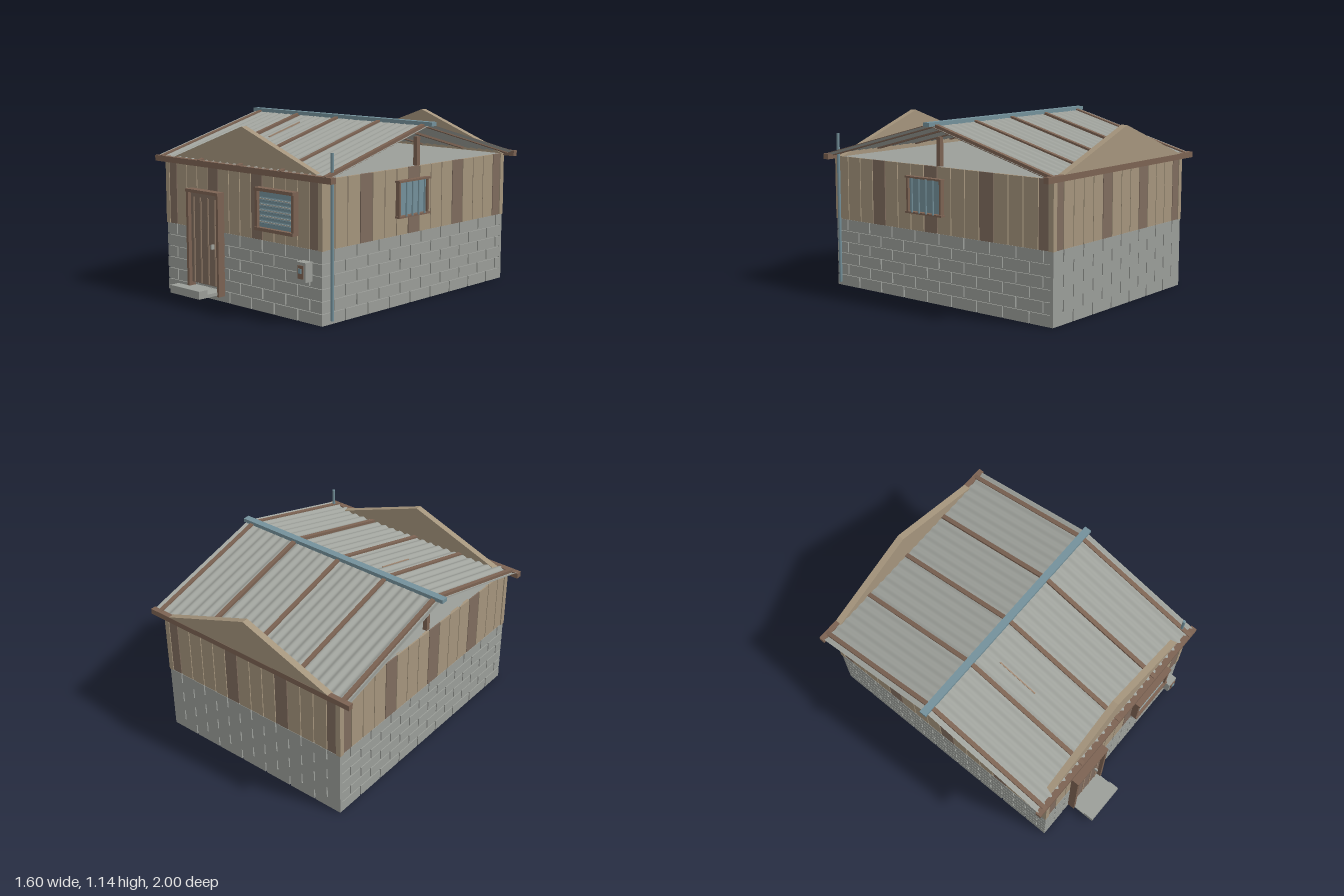
import * as THREE from 'three';

const mat = (name, color, side = THREE.FrontSide) => {
  const m = new THREE.MeshStandardMaterial({ color, side });
  m.name = name;
  return m;
};

export function createModel() {
  const root = new THREE.Group();
  root.name = 'hut';
  const block = mat('blockGrey', 0x9b9e99);
  const sheet = mat('roofGrey', 0xa0a39d, THREE.DoubleSide);
  const tan = mat('tanWood', 0xa5957d);
  const brown = mat('brownBoard', 0x7f6c5e);
  const trim = mat('brownTrim', 0x7c6353);
  const blue = mat('blueMetal', 0x74919b);
  const pale = mat('paleWood', 0xa08873);

  // Box given by its limits on each axis
  const box = (name, m, x0, x1, y0, y1, z0, z1, parent = root) => {
    const b = new THREE.Mesh(new THREE.BoxGeometry(x1 - x0, y1 - y0, z1 - z0), m);
    b.position.set((x0 + x1) / 2, (y0 + y1) / 2, (z0 + z1) / 2);
    b.name = name;
    parent.add(b);
    return b;
  };
  const group = (name) => {
    const g = new THREE.Group();
    g.name = name;
    root.add(g);
    return g;
  };

  // Solid cores behind the blocks and boards
  box('blockCore', block, -0.69, 0.69, 0, 0.445, -0.96, 0.79);
  box('boardCore', tan, -0.69, 0.69, 0.445, 0.855, -0.96, 0.79);
  box('ceiling', block, -0.69, 0.69, 0.855, 0.86, -0.96, 0.79);

  // One wall: local x runs along it, local z points outward
  const wall = (name, angle, half, dist, boards, browns, mirrored, joint) => {
    const g = group(name);
    g.position.z = -0.085;
    g.rotation.y = angle;
    const rows = 6, h = 0.445 / rows, len = 0.2;
    for (let r = 0; r < rows; r++) {
      for (let x = -half - (r % 2) * len / 2; x < half - 0.01; x += len) {
        const a = Math.max(x, -half), b = Math.min(x + len, half);
        box('block', block, a === -half ? a : a + 0.005, b === half ? b : b - 0.005,
          r * h + (r ? joint : 0), (r + 1) * h - (r < rows - 1 ? joint : 0), dist - 0.02, dist, g);
      }
    }
    const w = 2 * half / boards;
    for (let i = 0; i < boards; i++) {
      const k = mirrored ? boards - 1 - i : i, x = -half + i * w;
      box('board', browns.includes(k) ? brown : tan,
        x + 0.003, x + w - 0.003, 0.445, 0.86, dist - 0.02, dist - 0.002, g);
    }
  };
  const endBrowns = [0, 4, 8, 13], sideBrowns = [3, 7, 11, 15];
  wall('frontWall', 0, 0.7, 0.885, 14, endBrowns, false, 0.004);
  wall('backWall', Math.PI, 0.7, 0.885, 14, endBrowns, true, 0);
  wall('leftWall', Math.PI / 2, 0.885, 0.7, 16, sideBrowns, false, 0.004);
  wall('rightWall', -Math.PI / 2, 0.885, 0.7, 16, sideBrowns, true, 0.004);

  // Corner posts and posts under the ridge
  for (const s of [-1, 1]) {
    for (const z of [0.785, -0.955]) {
      box('cornerPost', tan, s * 0.688 - 0.017, s * 0.688 + 0.017, 0.445, 0.86, z - 0.018, z + 0.018);
    }
    box('ridgePost', trim, s * 0.67 - 0.015, s * 0.67 + 0.015, 0.86, 1.04, -0.1, -0.07);
  }

  // Gable triangles and eave boards
  const tri = new THREE.Shape([
    new THREE.Vector2(-0.7, 0.86), new THREE.Vector2(0.7, 0.86), new THREE.Vector2(0, 1.118)]);
  for (const [z, name] of [[0.735, 'frontGable'], [-0.999, 'backGable']]) {
    const gable = new THREE.Mesh(
      new THREE.ExtrudeGeometry(tri, { depth: 0.043, bevelEnabled: false }), tan);
    gable.position.z = z;
    gable.name = name;
    root.add(gable);
  }
  box('frontEave', trim, -0.79, 0.79, 0.845, 0.882, 0.78, 0.82);
  box('backEave', trim, -0.79, 0.79, 0.847, 0.884, -1, -0.965);

  // Corrugated roof slopes with battens, local z running down the slope
  const roofSlope = (name, sign, zEave, yEave) => {
    const zRidge = -0.09, yRidge = 1.115;
    const run = Math.abs(zEave - zRidge), drop = yRidge - yEave, L = Math.hypot(run, drop);
    const g = group(name);
    g.position.set(0, (yRidge + yEave) / 2, (zRidge + zEave) / 2);
    g.rotation.x = sign * Math.atan2(drop, run);
    const geo = new THREE.PlaneGeometry(1.56, L, 192, 1).rotateX(-Math.PI / 2);
    const p = geo.attributes.position;
    for (let i = 0; i < p.count; i++) {
      p.setY(i, 0.006 * Math.cos(p.getX(i) * Math.PI * 2 / 0.065));
    }
    geo.computeVertexNormals();
    const s = new THREE.Mesh(geo, sheet);
    s.name = 'corrugatedSheet';
    g.add(s);
    for (const x of [-0.73, -0.365, 0, 0.365, 0.73]) {
      box('batten', trim, x - 0.014, x + 0.014, -0.012, 0.014, -L / 2, L / 2, g);
    }
    return g;
  };
  const front = roofSlope('frontSlope', 1, 0.81, 0.872);
  roofSlope('backSlope', -1, -0.995, 0.868);
  for (const x of [-0.45, -0.235]) {
    box('rustStreak', pale, x - 0.004, x + 0.004, -0.006, 0.003, -0.33, -0.04, front);
  }
  box('ridgeCap', blue, -0.8, 0.8, 1.112, 1.137, -0.115, -0.068);

  // Door with frame, plank strips and handle
  const door = group('door');
  box('doorPanel', brown, -0.435, -0.16, 0.095, 0.685, 0.795, 0.825, door);
  for (const x of [-0.45, -0.165]) {
    box('doorJamb', trim, x, x + 0.02, 0.04, 0.7, 0.795, 0.85, door);
  }
  box('doorHead', trim, -0.45, -0.145, 0.68, 0.7, 0.795, 0.855, door);
  for (const x of [-0.4, -0.335, -0.265, -0.2]) {
    box('plankStrip', pale, x - 0.005, x + 0.005, 0.1, 0.65, 0.824, 0.829, door);
  }
  box('doorHandle', sheet, -0.22, -0.21, 0.335, 0.365, 0.825, 0.848, door);

  // Door step
  box('stepSlab', block, -0.44, -0.16, 0.05, 0.07, 0.8, 0.93);
  box('stepEdge', block, -0.44, -0.16, 0.05, 0.1, 0.93, 1);

  // Louvred front window
  const win = group('frontWindow');
  box('windowPane', blue, 0.195, 0.49, 0.53, 0.755, 0.795, 0.818, win);
  for (const x of [0.178, 0.488]) box('windowJamb', trim, x, x + 0.02, 0.515, 0.77, 0.795, 0.84, win);
  for (const y of [0.512, 0.753]) box('windowRail', trim, 0.178, 0.508, y, y + 0.02, 0.795, 0.848, win);
  for (let i = 0; i < 5; i++) {
    const y = 0.567 + i * 0.035;
    box('louvre', blue, 0.21, 0.475, y - 0.01, y + 0.01, 0.822, 0.828, win).rotation.x = -0.5;
    box('louvreEdge', sheet, 0.21, 0.475, y - 0.003, y + 0.003, 0.826, 0.832, win);
  }

  // Barred side window
  const side = group('sideWindow');
  box('sidePane', blue, 0.69, 0.71, 0.57, 0.78, -0.135, 0.14, side);
  for (const z of [-0.14, 0.132]) box('sideJamb', trim, 0.69, 0.728, 0.56, 0.785, z, z + 0.014, side);
  for (const y of [0.556, 0.777]) box('sideRail', trim, 0.69, 0.735, y, y + 0.012, -0.147, 0.153, side);
  for (let i = 0; i < 4; i++) {
    const bar = new THREE.Mesh(new THREE.CylinderGeometry(0.006, 0.006, 0.215, 8), blue);
    bar.position.set(0.738, 0.672, -0.085 + i * 0.058);
    bar.name = 'windowBar';
    side.add(bar);
  }

  // Standing pipe and its cap
  const pipe = new THREE.Mesh(new THREE.CylinderGeometry(0.01, 0.01, 0.985, 10), blue);
  pipe.position.set(0.73, 0.522, 0.745);
  pipe.name = 'pipe';
  root.add(pipe);

  // Meter box
  const meter = group('meterBox');
  box('meterCase', block, 0.55, 0.625, 0.258, 0.375, 0.795, 0.86, meter);
  box('meterPanel', trim, 0.565, 0.61, 0.277, 0.357, 0.86, 0.866, meter);
  box('meterGlass', blue, 0.577, 0.598, 0.31, 0.338, 0.866, 0.872, meter);

  return root;
}
